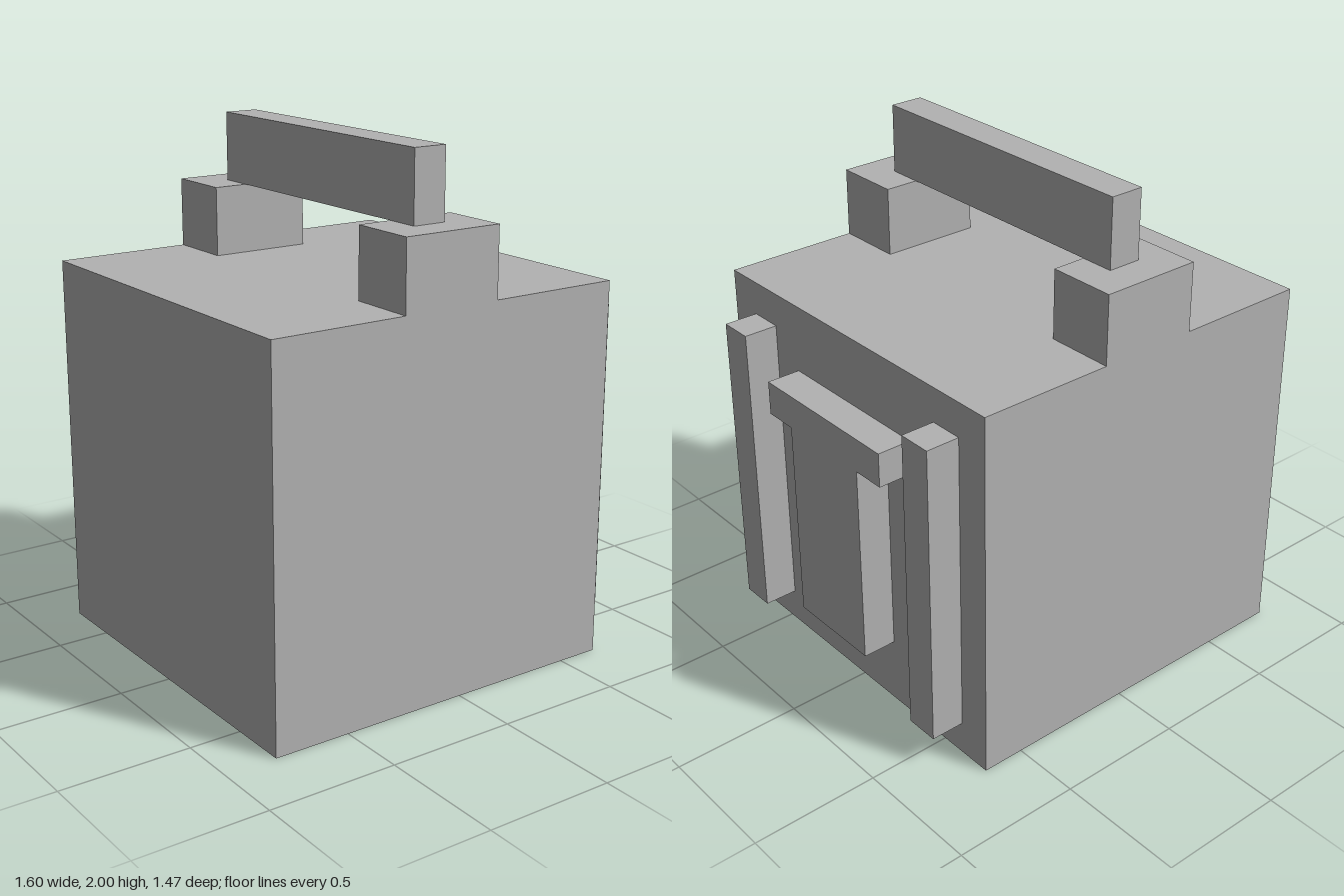
import * as THREE from 'three';

const U = 2 / 15; // block size; every part sits on this grid (or half of it)

export function createModel() {
  const model = new THREE.Group();
  model.name = 'blockWithHandle';
  const grey = new THREE.MeshStandardMaterial({ color: 0xb2b2b2 });
  grey.name = 'grey';

  // Box from its lower and upper corners, in grid units
  function box(name, [x0, y0, z0], [x1, y1, z1]) {
    const geometry = new THREE.BoxGeometry((x1 - x0) * U, (y1 - y0) * U, (z1 - z0) * U);
    const mesh = new THREE.Mesh(geometry, grey);
    mesh.position.set((x0 + x1) * U / 2, (y0 + y1) * U / 2, (z0 + z1) * U / 2);
    mesh.name = name;
    model.add(mesh);
  }

  // Main body
  box('body', [-6, 0, -5.5], [5, 11, 5.5]);

  // Handle bar on its two supports
  box('frontHandleSupport', [-2, 11, 3.5], [1, 13, 5.5]);
  box('backHandleSupport', [-2, 11, -5.5], [1, 13, -3.5]);
  box('handleBar', [-1, 13, -4.5], [0, 15, 4.5]);

  // Upright rails on the left side
  box('frontRail', [5, 1, 3.5], [6, 10, 4.5]);
  box('backRail', [5, 1, -4.5], [6, 10, -3.5]);

  // T-shaped panel between the rails, drawn in z/y and extruded along x
  const outline = [[-1.5, 2], [1.5, 2], [1.5, 8], [2.5, 8], [2.5, 9], [-2.5, 9], [-2.5, 8], [-1.5, 8]];
  const shape = new THREE.Shape(outline.map(([z, y]) => new THREE.Vector2(z * U, y * U)));
  const panel = new THREE.Mesh(new THREE.ExtrudeGeometry(shape, { depth: U, bevelEnabled: false }), grey);
  panel.rotation.y = Math.PI / 2;
  panel.position.x = 5 * U;
  panel.name = 'sidePanel';
  model.add(panel);

  return model;
}
